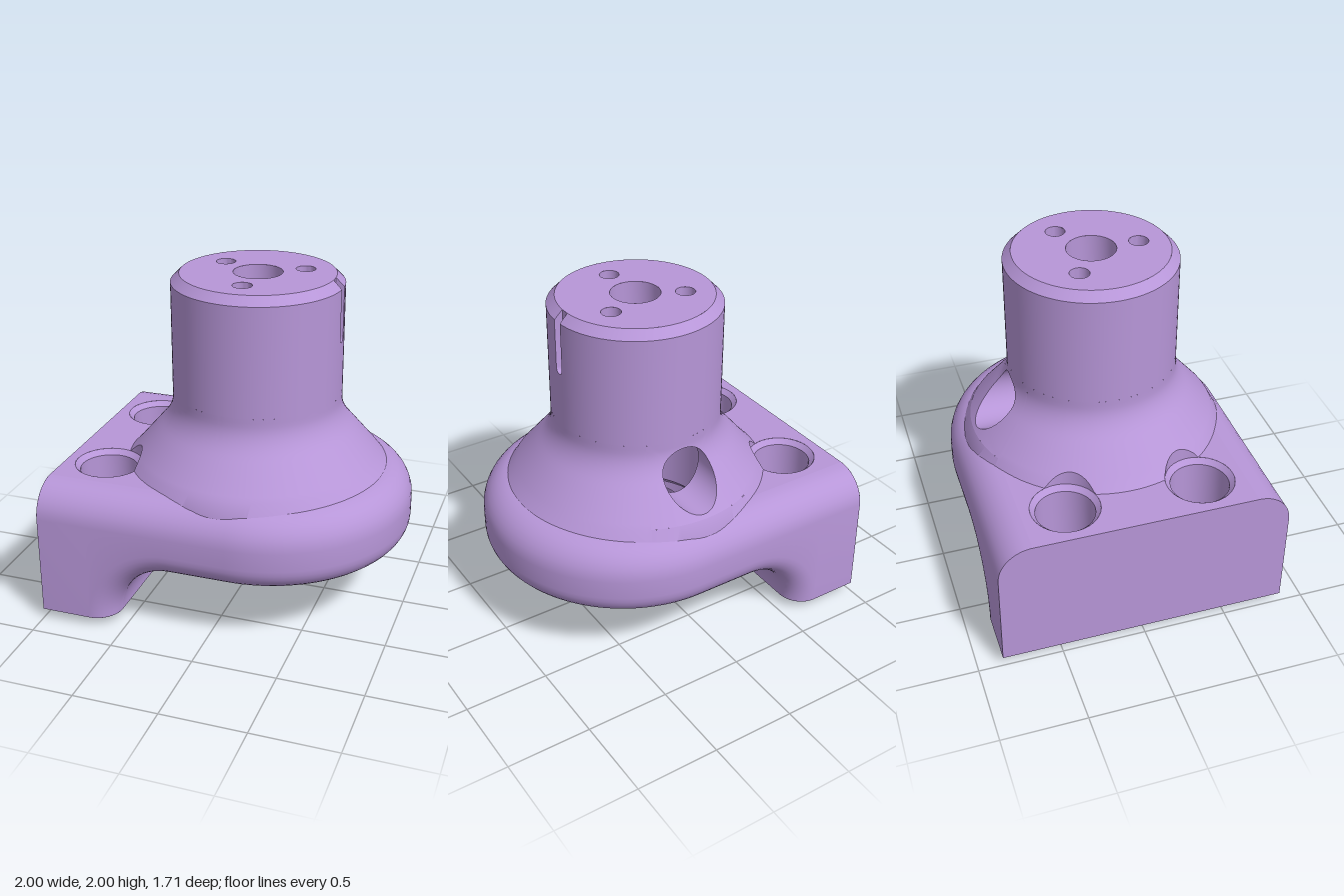
import * as THREE from 'three';
import { toCreasedNormals } from 'three/addons/utils/BufferGeometryUtils.js';

const { PI, sin, cos, sqrt, asin, max, min, abs } = Math;
const AX = 0.06;                       // x of the tower axis
const material = new THREE.MeshStandardMaterial({ color: 0xb796d8, side: THREE.DoubleSide });
const lerp = THREE.MathUtils.lerp;
const range = (n, a, b) => Array.from({ length: n + 1 }, (_, i) => lerp(a, b, i / n));

// point on a ring round the tower axis
const polar = (t, h, r) => [AX + r * sin(t), h, r * cos(t)];

// surface through a list of columns, each a list of points
function skin(columns) {
  const pos = [];
  const v = (p) => new THREE.Vector3(...p);
  const tri = (a, b, c) => {
    if (v(b).sub(v(a)).cross(v(c).sub(v(a))).length() > 1e-9) pos.push(...a, ...b, ...c);
  };
  for (let i = 0; i + 1 < columns.length; i++) {
    const A = columns[i], B = columns[i + 1];
    for (let j = 0; j + 1 < A.length; j++) {
      tri(A[j], B[j], B[j + 1]);
      tri(A[j], B[j + 1], A[j + 1]);
    }
  }
  const g = new THREE.BufferGeometry();
  g.setAttribute('position', new THREE.Float32BufferAttribute(pos, 3));
  return toCreasedNormals(g, 0.5);
}

// turned part on a vertical axis
function turned(profile, x, z, segments = 40) {
  const g = new THREE.LatheGeometry(profile.map((p) => new THREE.Vector2(...p)), segments);
  return toCreasedNormals(g, 0.5).translate(x, 0, z);
}

// flat horizontal face, shape drawn in (x, -z)
const flat = (shape, y) => new THREE.ShapeGeometry(shape, 48).rotateX(-PI / 2).translate(0, y, 0);
const circle = (x, z, r) => new THREE.Path().absarc(x, -z, r, 0, 2 * PI, true);

// flared cone running smoothly into the tower
function flare(h) {
  const d = 0.28 - (h - 0.85) * 0.857, k = 0.07;
  if (d > k) return 0.5 + d;
  return d < -k ? 0.5 : 0.5 + (d + k) ** 2 / (4 * k);
}

// round port at the back: rim curve and the wall patch around it
function portRim(a, R) {
  const h = 1.08 + 0.16 * sin(a);
  return [asin(0.16 * cos(a) / R(h)), h];
}
const PORT = 0.45;                     // half angle of the port patch
function portPatch(R) {
  return skin(range(64, 0, 2 * PI).map((a) => {
    const k = 1 / max(abs(cos(a)), abs(sin(a)));
    const [t0, h0] = portRim(a, R);
    const t1 = PORT * cos(a) * k, h1 = 1.1 + 0.2 * sin(a) * k;
    return range(8, 0, 1).map((f) => {
      const h = lerp(h0, h1, f);
      return polar(PI + lerp(t0, t1, f), h, R(h));
    });
  }));
}

const BOLTS = [[-0.74, 0.4], [-0.74, -0.4]];

// foot of the cone, cut back where a counterbore reaches into it
function coneColumn(t, top, steps) {
  let r = 0.785;
  for (const [x, z] of BOLTS) {
    const dx = x - AX, along = dx * sin(t) + z * cos(t);
    const q = 0.04 - (dx * dx + z * z - along * along);
    if (along > 0 && q > 0) r = min(r, along - sqrt(q));
  }
  const h = r < 0.78 ? 0.85 + (0.78 - r) / 0.857 : 0.85 - 0.04 * cos(t) ** 2;
  const start = max(0.9, h + 0.005);
  return [polar(t, 0.72, r), polar(t, h, r),
    ...range(steps, start, top).map((y) => polar(t, y, flare(y)))];
}

// wall of the base: top round, side, bottom round following the arched underside
function rib(x, z, nx, nz, phi) {
  const pts = range(8, 0, PI / 2).map((b) => {
    const inset = 0.2 * (1 - sin(b));
    return [x - nx * inset, 0.66 + 0.2 * cos(b), z - nz * inset];
  });
  for (const b of range(8, 0, PI / 2)) {
    if (phi === null) { pts.push([x, 0.06, z]); continue; }
    const inset = 0.15 * (1 - cos(b)), r = 0.49 - 0.15 * sin(b);
    const px = phi < PI / 2 ? -0.21 - r * cos(phi) : x;
    pts.push([px - nx * inset, 0.06 + r * sin(phi), z - nz * inset]);
  }
  return pts;
}

export function createModel() {
  const model = new THREE.Group();
  const add = (name, geometry) => {
    const mesh = new THREE.Mesh(geometry, material);
    mesh.name = name;
    model.add(mesh);
  };

  // base wall
  const side = (s) => [
    rib(-1, 0.855 * s, 0, s, null), rib(-0.7, 0.855 * s, 0, s, null),
    ...range(16, 0, PI / 2).map((p) => rib(-0.21 - 0.49 * cos(p), 0.855 * s, 0, s, p)),
  ];
  const nose = range(64, 0, PI).map((a) =>
    rib(0.145 + 0.855 * sin(a), 0.855 * cos(a), sin(a), cos(a), PI / 2));
  add('baseWall', skin([...side(1), ...nose, ...side(-1).reverse()]));

  // base top with counterbore openings
  const top = new THREE.Shape().moveTo(-1, -0.655).lineTo(0.145, -0.655);
  top.absarc(0.145, 0, 0.655, -PI / 2, PI / 2, false).lineTo(-1, 0.655);
  top.holes.push(circle(AX, 0, 0.6), ...BOLTS.map(([x, z]) => circle(x, z, 0.2)));
  add('baseTop', flat(top, 0.86));

  // mounting face
  const back = new THREE.Shape().moveTo(-0.855, 0.06).lineTo(0.855, 0.06).lineTo(0.855, 0.66);
  back.absarc(0.655, 0.66, 0.2, 0, PI / 2, false).absarc(-0.655, 0.66, 0.2, PI / 2, PI, false);
  add('mountingFace', new THREE.ShapeGeometry(back, 16).rotateY(-PI / 2).translate(-1, 0, 0));

  // foot sole
  const sole = new THREE.Shape().moveTo(-1, -0.855).lineTo(-0.7, -0.855);
  sole.absarc(-0.7, -0.705, 0.15, -PI / 2, 0, false).absarc(-0.7, 0.705, 0.15, 0, PI / 2, false);
  sole.lineTo(-1, 0.855);
  sole.holes.push(...BOLTS.map(([x, z]) => circle(x, z, 0.088)));
  add('footSole', flat(sole, 0.06));

  // arched underside, split by the bore
  for (const s of [1, -1]) {
    add('underArch', skin(range(48, 0, PI / 2).map((p) => {
      const x = -0.21 - 0.34 * cos(p), y = 0.06 + 0.34 * sin(p);
      return [[x, y, 0.705 * s], [x, y, s * sqrt(max(0, 0.25 - (x - AX) ** 2))]];
    })));
  }

  // flat underside, wrapping round the bore
  const bz = sqrt(0.25 - 0.27 ** 2), ba = Math.atan2(bz, -0.27);
  const under = new THREE.Shape().moveTo(-0.21, -0.705).lineTo(0.145, -0.705);
  under.absarc(0.145, 0, 0.705, -PI / 2, PI / 2, false).lineTo(-0.21, 0.705).lineTo(-0.21, bz);
  under.absarc(AX, 0, 0.5, ba, -ba, true);
  add('underside', flat(under, 0.4));

  // counterbored bolt holes and locating pins
  for (const [x, z] of BOLTS) {
    add('boltHole', turned([[0.2, 0.86], [0.17, 0.83], [0.17, 0.45], [0.088, 0.45], [0.088, 0.06]], x, z));
    add('locatingPin', turned([[0, 0], [0.06, 0], [0.07, 0.01], [0.07, 0.07]], x, Math.sign(z) * 0.685, 28));
  }

  // flared cone and its port
  add('cone', skin(range(160, PI + PORT, 3 * PI - PORT).map((t) => coneColumn(t, 1.3, 16))));
  add('coneFoot', skin(range(20, PI - PORT, PI + PORT).map((t) => coneColumn(t, 0.9, 1))));
  add('portSurround', portPatch(flare));
  const boreR = () => 0.45;
  add('portTunnel', skin(range(64, 0, 2 * PI).map((a) => [flare, boreR].map((R) => {
    const [t, h] = portRim(a, R);
    return polar(PI + t, h, R(h));
  }))));

  // tower with chamfered rim and key slot
  const plain = (t, end = 1.66) => [[0.5, 1.3], [0.5, end], [0.5, end], [0.5, 1.95], [0.45, 2]]
    .map(([r, h]) => polar(t, h, r));
  const slot = range(12, -1, 1).map((f) => {
    const end = 1.66 - 0.03 * sqrt(1 - f * f);
    return [[0.5, 1.3], [0.5, end], [0.452, end], [0.452, 1.95], [0.45, 2]]
      .map(([r, h]) => polar(PI / 2 + 0.06 * f, h, r));
  });
  add('tower', skin([...range(96, PI / 2 + 0.06, 2.5 * PI - 0.06).map((t) => plain(t)),
    ...slot, plain(PI / 2 + 0.06)]));

  // tower cap with centre hole and three screw holes
  const holes = [[AX, 0, 0.143], ...[0, 1, 2].map((i) =>
    [AX + 0.28 * sin(i * 2 * PI / 3), 0.28 * cos(i * 2 * PI / 3), 0.057])];
  for (const [r, y, name] of [[0.45, 2, 'towerCap'], [0.4, 1.8, 'boreRoof']]) {
    const disc = new THREE.Shape().absarc(AX, 0, r, 0, 2 * PI, false);
    disc.holes.push(...holes.map((h) => circle(...h)));
    add(name, flat(disc, y));
  }
  for (const [x, z, r] of holes) add('capHole', turned([[r, 2], [r, 1.8]], x, z));

  // stepped bore, its mouth cutting into the arch
  const around = range(96, 0, 2 * PI);
  add('boreMouth', skin(around.map((t) => {
    const dx = AX + 0.5 * sin(t) + 0.21;
    const y = dx < 0 ? 0.06 + sqrt(0.34 ** 2 - dx * dx) : 0.4;
    return [[0.5, y], [0.5, 0.42], [0.45, 0.47], [0.45, 0.9]].map(([r, h]) => polar(t, h, r));
  })));
  add('boreWall', skin(range(80, PI + PORT, 3 * PI - PORT).map((t) =>
    [polar(t, 0.9, 0.45), polar(t, 1.3, 0.45)])));
  add('borePort', portPatch(boreR));
  add('boreTop', turned([[0.45, 1.3], [0.4, 1.35], [0.4, 1.8]], AX, 0, 96));

  return model;
}
